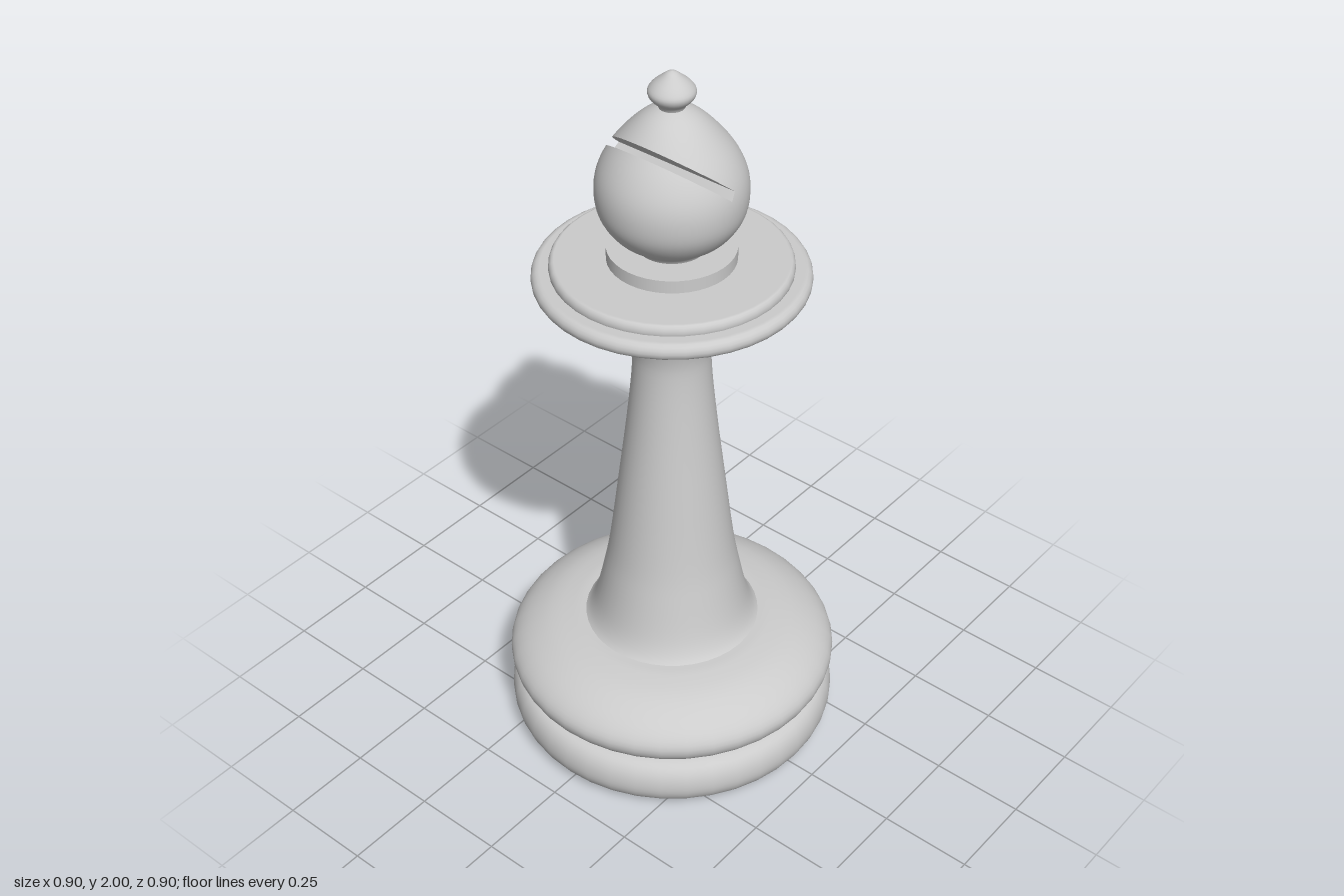
import * as THREE from 'three';

const material = new THREE.MeshStandardMaterial({ color: 0xcccccc });

// Smooth profile through [radius, height] points, listed from bottom to top
const smooth = (pts, n) =>
  new THREE.SplineCurve(pts.map(p => new THREE.Vector2(...p))).getPoints(n)
    .map(p => p.setX(Math.max(0, p.x)));

function turned(name, points, segments = 40) {
  const mesh = new THREE.Mesh(new THREE.LatheGeometry(points, segments), material);
  mesh.name = name;
  return mesh;
}

const v2 = (x, y) => new THREE.Vector2(x, y);

// Flat disc with a rounded rim
function disc(name, radius, y0, y1, bevel) {
  const pts = [v2(0, y0)];
  for (let i = 0; i <= 8; i++) {
    const a = -Math.PI / 2 + Math.PI * i / 8;
    pts.push(v2(radius - bevel + bevel * Math.cos(a), (y0 + y1) / 2 + (y1 - y0) / 2 * Math.sin(a)));
  }
  pts.push(v2(0, y1));
  return turned(name, pts);
}

// Slot in the head: runs along z, its floor centred at FLOOR, DIR points inward
const FLOOR = v2(0.006, 1.729);
const DIR = v2(0.75, -0.66).normalize();
const NORMAL = v2(-DIR.y, DIR.x);
const HALF = 0.0125;
const depth = v => (v[0] - FLOOR.x) * DIR.x + (v[1] - FLOOR.y) * DIR.y;
const side = v => (v[0] - FLOOR.x) * NORMAL.x + (v[1] - FLOOR.y) * NORMAL.y;

// Keep the part of a polygon where dist >= 0 (vertices hold position and normal)
function clip(poly, dist) {
  const out = [];
  poly.forEach((a, i) => {
    const b = poly[(i + 1) % poly.length];
    const da = dist(a), db = dist(b);
    if (da >= 0) out.push(a);
    if ((da >= 0) !== (db >= 0)) {
      const t = da / (da - db);
      out.push(a.map((v, k) => v + (b[k] - v) * t));
    }
  });
  return out;
}

// Outer skin of the head with the slot opening removed
function slottedSkin(profile) {
  const g = new THREE.LatheGeometry(profile, 56).toNonIndexed();
  const p = g.attributes.position, n = g.attributes.normal;
  const pos = [], nor = [];
  const emit = poly => {
    for (let i = 1; i + 1 < poly.length; i++) {
      for (const v of [poly[0], poly[i], poly[i + 1]]) {
        pos.push(v[0], v[1], v[2]);
        nor.push(v[3], v[4], v[5]);
      }
    }
  };
  for (let i = 0; i < p.count; i += 3) {
    const tri = [i, i + 1, i + 2].map(k =>
      [p.getX(k), p.getY(k), p.getZ(k), n.getX(k), n.getY(k), n.getZ(k)]);
    emit(clip(tri, v => side(v) - HALF));
    emit(clip(tri, v => -HALF - side(v)));
    emit(clip(clip(clip(tri, v => HALF - side(v)), v => side(v) + HALF), depth));
  }
  const out = new THREE.BufferGeometry();
  out.setAttribute('position', new THREE.Float32BufferAttribute(pos, 3));
  out.setAttribute('normal', new THREE.Float32BufferAttribute(nor, 3));
  return out;
}

// Slot walls and floor: one strip spanning the head's width in z
function slotWalls(profile) {
  const radiusAt = y => {
    for (let i = 1; i < profile.length; i++) {
      const a = profile[i - 1], b = profile[i];
      if (y >= a.y && y <= b.y) return a.x + (b.x - a.x) * (y - a.y) / (b.y - a.y);
    }
    return 0;
  };
  const at = (s, w) => FLOOR.clone().addScaledVector(DIR, s).addScaledVector(NORMAL, w);
  const wall = w => {
    let inside = 0, outside = -0.4;
    for (let i = 0; i < 30; i++) {
      const mid = (inside + outside) / 2, q = at(mid, w);
      if (Math.abs(q.x) < radiusAt(q.y)) inside = mid; else outside = mid;
    }
    return Array.from({ length: 25 }, (_, i) => at(inside * (1 - (i / 24) ** 2), w));
  };
  const path = [...wall(HALF), ...wall(-HALF).reverse()];
  const half = q => Math.sqrt(Math.max(0, radiusAt(q.y) ** 2 - q.x ** 2));
  const pos = [];
  for (let i = 0; i + 1 < path.length; i++) {
    const a = path[i], b = path[i + 1], ha = half(a), hb = half(b);
    pos.push(a.x, a.y, ha, a.x, a.y, -ha, b.x, b.y, hb);
    pos.push(a.x, a.y, -ha, b.x, b.y, -hb, b.x, b.y, hb);
  }
  const g = new THREE.BufferGeometry();
  g.setAttribute('position', new THREE.Float32BufferAttribute(pos, 3));
  g.computeVertexNormals();
  return g;
}

function createHead() {
  const head = new THREE.Group();
  head.name = 'head';
  const profile = smooth([[0.085, 1.52], [0.098, 1.54], [0.145, 1.575], [0.178, 1.625], [0.188, 1.68],
    [0.181, 1.735], [0.155, 1.79], [0.112, 1.845], [0.07, 1.885], [0.03, 1.907], [0, 1.912]], 48);
  const skin = new THREE.Mesh(slottedSkin(profile), material);
  skin.name = 'headSkin';
  const walls = new THREE.Mesh(slotWalls(profile), material);
  walls.name = 'headSlot';
  head.add(skin, walls);
  return head;
}

export function createModel() {
  const model = new THREE.Group();
  model.name = 'chessBishop';

  // Two stacked rounded rings form the foot
  model.add(turned('lowerBase', [v2(0, 0), v2(0.385, 0),
    ...smooth([[0.39, 0.003], [0.425, 0.018], [0.445, 0.05], [0.449, 0.085], [0.441, 0.12],
      [0.42, 0.145], [0.38, 0.155]], 18), v2(0.3, 0.158)]));
  model.add(turned('upperBase', [v2(0.3, 0.15),
    ...smooth([[0.37, 0.155], [0.41, 0.165], [0.437, 0.185], [0.449, 0.22], [0.435, 0.255],
      [0.395, 0.29], [0.33, 0.32], [0.25, 0.333]], 20), v2(0, 0.335)]));

  // Tapered stem flaring out under the collar
  model.add(turned('stem', smooth([[0.245, 0.325], [0.225, 0.35], [0.206, 0.4], [0.184, 0.5],
    [0.166, 0.6], [0.141, 0.8], [0.117, 1.0], [0.102, 1.16], [0.104, 1.24], [0.128, 1.315],
    [0.175, 1.363], [0.25, 1.4]], 44)));

  // Collar made of stacked discs
  model.add(disc('collarUnderside', 0.29, 1.385, 1.43, 0.02));
  model.add(disc('collarRim', 0.348, 1.418, 1.464, 0.022));
  model.add(disc('collarTop', 0.304, 1.45, 1.49, 0.014));
  model.add(turned('neck', [v2(0.115, 1.48), v2(0.115, 1.51)]));
  const ring = new THREE.Mesh(new THREE.CylinderGeometry(0.162, 0.162, 0.035, 40), material);
  ring.name = 'neckRing';
  ring.position.y = 1.507;
  model.add(ring);

  model.add(createHead());

  // Pointed finial
  model.add(turned('finial', smooth([[0.03, 1.9], [0.036, 1.915], [0.053, 1.932], [0.058, 1.95],
    [0.046, 1.968], [0.026, 1.985], [0.012, 1.996], [0, 2]], 24), 32));

  return model;
}
